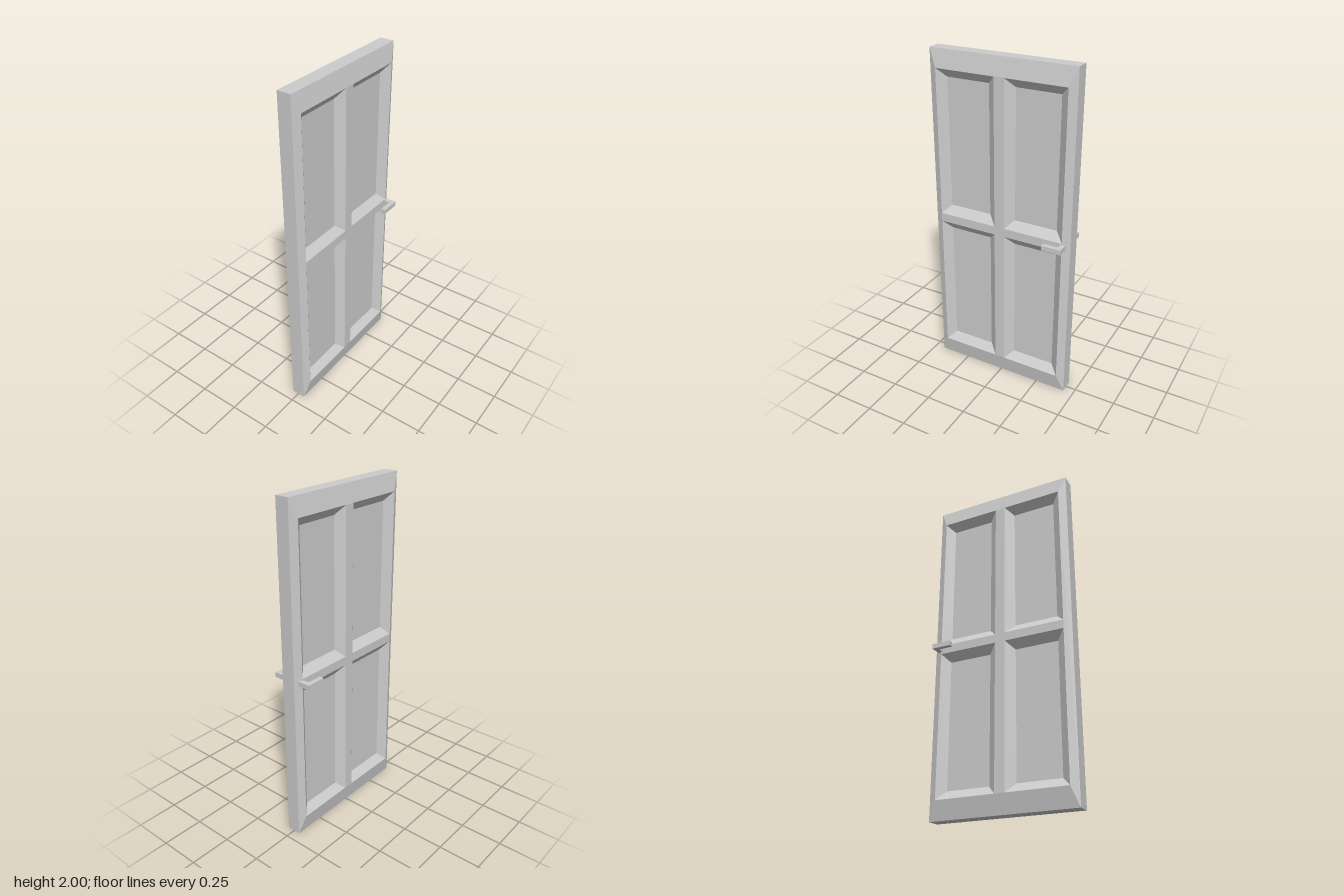
import * as THREE from 'three';

const material = new THREE.MeshStandardMaterial({ color: 0xcccccc, flatShading: true });

// Grid lines of the door: outer edge, stiles and rails around the four panels
const XS = [-0.4375, -0.393, -0.031, 0.031, 0.393, 0.4375];
const YS = [0, 0.11, 0.975, 1.027, 1.895, 2];
const EDGE_Z = 0.041, FACE_Z = 0.0615, PANEL_Z = 0.0215, BEVEL = 0.05;

// Flat-shaded geometry from quads, corners counter-clockwise
function quadGeometry(quads) {
  const positions = quads.flatMap(([a, b, c, d]) => [a, b, c, a, c, d].flat());
  const geometry = new THREE.BufferGeometry();
  geometry.setAttribute('position', new THREE.Float32BufferAttribute(positions, 3));
  geometry.computeVertexNormals();
  return geometry;
}

// Quads joining two four-cornered loops
function band(outer, inner) {
  return outer.map((p, i) => {
    const j = (i + 1) % 4;
    return [p, outer[j], inner[j], inner[i]];
  });
}

function rectangle(x0, x1, y0, y1, z) {
  return [[x0, y0, z], [x1, y0, z], [x1, y1, z], [x0, y1, z]];
}

// One side of the door: half the rim, the sloped frame and the sunken panels
function createLeaf() {
  const leaf = new THREE.Group();
  const add = (name, quads) => {
    const mesh = new THREE.Mesh(quadGeometry(quads), material);
    mesh.name = name;
    leaf.add(mesh);
  };

  const [x0, x1, x2, x3, x4, x5] = XS;
  const [y0, y1, y2, y3, y4, y5] = YS;
  const edge = rectangle(x0, x5, y0, y5, EDGE_Z);
  add('rim', band(rectangle(x0, x5, y0, y5, 0), edge));
  add('slopedFrame', band(edge, rectangle(x1, x4, y1, y4, FACE_Z)));

  // Raised cross between the panels
  add('middleRail', [rectangle(x1, x4, y2, y3, FACE_Z)]);
  add('mullion', [rectangle(x2, x3, y1, y2, FACE_Z), rectangle(x2, x3, y3, y4, FACE_Z)]);

  // Four panels with mitred bevels
  for (const [left, right] of [[x1, x2], [x3, x4]]) {
    for (const [bottom, top] of [[y1, y2], [y3, y4]]) {
      const floor = rectangle(left + BEVEL, right - BEVEL, bottom + BEVEL, top - BEVEL, PANEL_Z);
      add('panel', [...band(rectangle(left, right, bottom, top, FACE_Z), floor), floor]);
    }
  }
  return leaf;
}

// L-shaped lever handle, extruded upwards from its plan
function createHandle(side) {
  const tip = 0.124, inner = 0.096, root = 0.03;
  const plan = new THREE.Shape([
    [0.385, root], [0.414, root], [0.414, tip], [0.297, tip], [0.297, inner], [0.385, inner],
  ].map(([x, z]) => new THREE.Vector2(x, -z * side)));
  const geometry = new THREE.ExtrudeGeometry(plan, { depth: 0.029, bevelEnabled: false });
  geometry.rotateX(-Math.PI / 2);
  geometry.translate(0, 0.989, -0.001);
  return new THREE.Mesh(geometry, material);
}

export function createModel() {
  const door = new THREE.Group();
  door.name = 'door';

  for (const side of [1, -1]) {
    const label = side > 0 ? 'front' : 'back';
    const leaf = createLeaf();
    leaf.name = label + 'Leaf';
    leaf.position.z = 0.0015;
    if (side < 0) leaf.rotation.y = Math.PI;
    const handle = createHandle(side);
    handle.name = label + 'Handle';
    door.add(leaf, handle);
  }
  return door;
}
